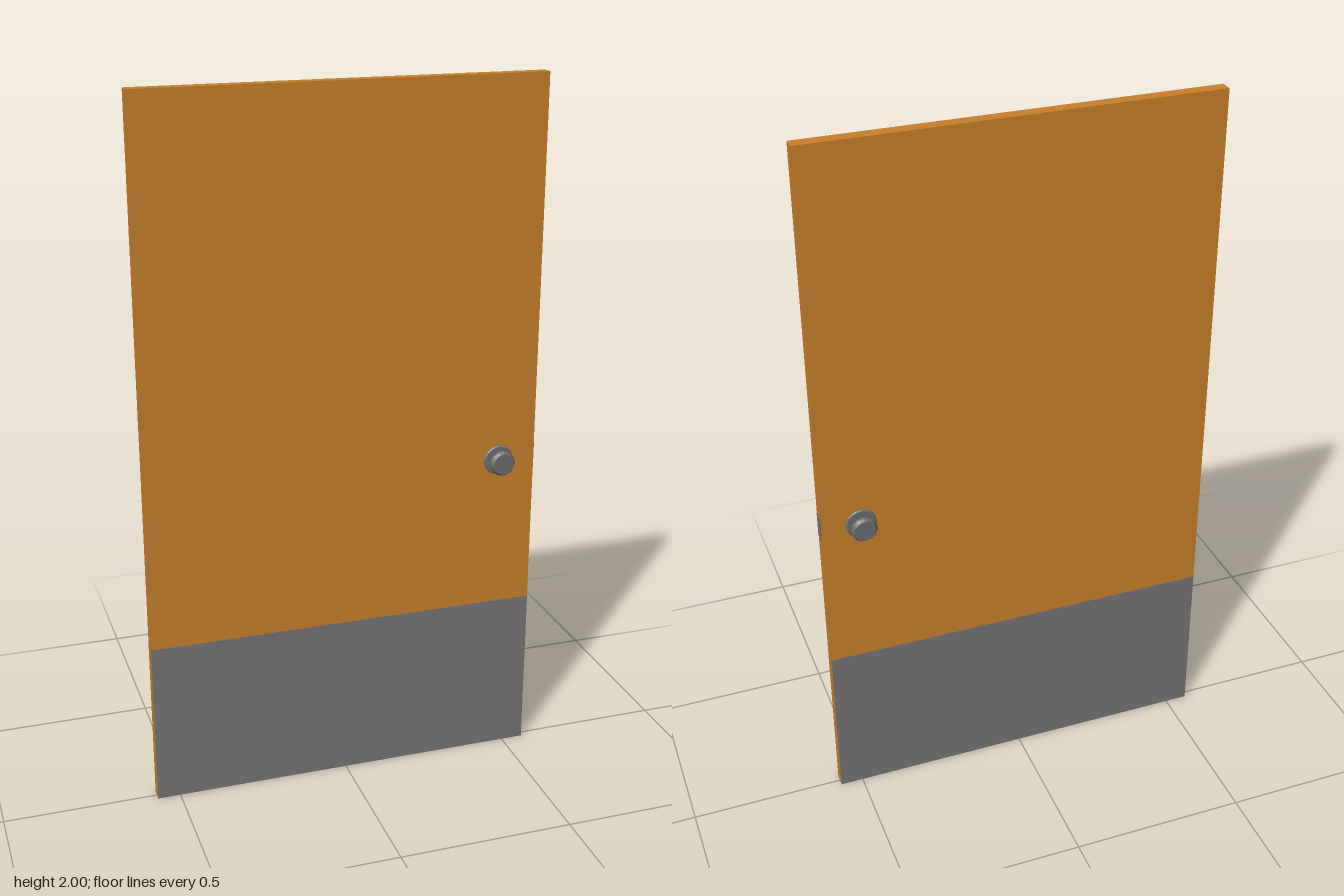
import * as THREE from 'three';

export function createModel() {
  const door = new THREE.Group();
  door.name = 'door';

  const material = (name, color) => {
    const m = new THREE.MeshStandardMaterial({ color });
    m.name = name;
    return m;
  };
  const wood = material('orange wood', 0xc8802b);
  const plate = material('grey plate', 0x777475);
  const metal = material('knob metal', 0x6c6e71);

  const W = 1.13, H = 2, T = 0.036;
  const knobX = 0.455, knobY = 0.92;

  const box = (name, mat, w, h, d, x, y, z) => {
    const mesh = new THREE.Mesh(new THREE.BoxGeometry(w, h, d), mat);
    mesh.name = name;
    mesh.position.set(x, y, z);
    door.add(mesh);
  };

  // Slab, and the latch plate on its opening edge
  box('slab', wood, W, H, T, 0, H / 2, 0);
  box('latchPlate', plate, 0.002, 0.075, T - 0.002, W / 2, knobY, 0);

  // Handle parts as [radius, distance from the door's middle] profiles
  const profiles = {
    rosette: [[0.043, T / 2], [0.043, 0.021], [0.04, 0.024], [0, 0.024]],
    stem: [[0.013, 0.02], [0.013, 0.04]],
    knob: [[0, 0.037], [0.026, 0.037], [0.034, 0.042], [0.036, 0.048],
      [0.036, 0.054], [0.03, 0.062], [0, 0.062]],
  };

  // Kick plate and handle on both faces
  for (const side of [1, -1]) {
    const face = side > 0 ? 'front' : 'back';
    box(face + 'KickPlate', plate, W, 0.475, 0.002, 0, 0.2375, side * T / 2);

    const handle = new THREE.Group();
    handle.name = face + 'Handle';
    handle.position.set(knobX, knobY, 0);
    handle.rotation.x = side * Math.PI / 2;
    for (const [name, points] of Object.entries(profiles)) {
      const outline = points.map(([r, h]) => new THREE.Vector2(r, h));
      const geometry = new THREE.LatheGeometry(outline, 20).toNonIndexed();
      geometry.computeVertexNormals();
      const mesh = new THREE.Mesh(geometry, metal);
      mesh.name = name;
      handle.add(mesh);
    }
    door.add(handle);
  }
  return door;
}
